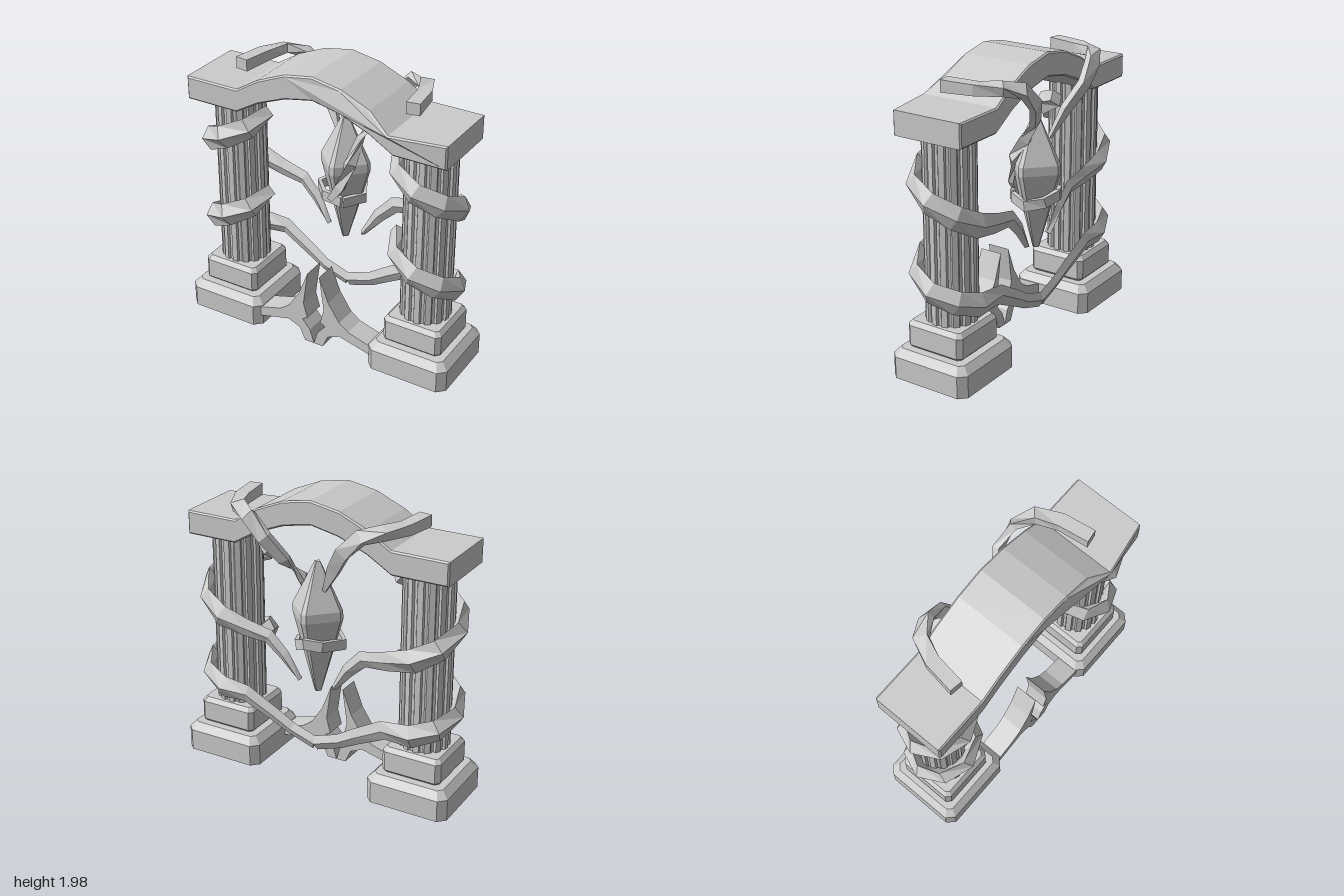
import * as THREE from 'three';

const V = (x, y, z) => new THREE.Vector3(x, y, z);
const material = new THREE.MeshStandardMaterial({ color: 0xcccccc, flatShading: true });

function add(parent, name, geometry) {
  const mesh = new THREE.Mesh(geometry, material);
  mesh.name = name;
  parent.add(mesh);
  return mesh;
}

// Skin a row of rings (counter-clockwise about the direction of travel) and cap both ends
function loft(rings) {
  const pos = [];
  const tri = (...pts) => pts.forEach(p => pos.push(p.x, p.y, p.z));
  const n = rings[0].length;
  for (let i = 0; i < rings.length - 1; i++) {
    for (let j = 0; j < n; j++) {
      const k = (j + 1) % n;
      const [a, b, c, d] = [rings[i][j], rings[i][k], rings[i + 1][k], rings[i + 1][j]];
      tri(a, b, c);
      tri(a, c, d);
    }
  }
  const first = rings[0], last = rings[rings.length - 1];
  for (let j = 1; j < n - 1; j++) {
    tri(first[0], first[j + 1], first[j]);
    tri(last[0], last[j], last[j + 1]);
  }
  const g = new THREE.BufferGeometry();
  g.setAttribute('position', new THREE.Float32BufferAttribute(pos, 3));
  g.computeVertexNormals();
  return g;
}

// Vine through nodes { p: point, out: outward hint, w: half width, t: half thickness }
function vine(nodes, square = false) {
  return loft(nodes.map(({ p, out, w, t }, i) => {
    const a = nodes[Math.max(i - 1, 0)].p, b = nodes[Math.min(i + 1, nodes.length - 1)].p;
    const dir = b.clone().sub(a).normalize();
    const n = out.clone().addScaledVector(dir, -out.dot(dir)).normalize();
    const side = dir.clone().cross(n);
    const corners = square ? [[1, -1], [1, 1], [-1, 1], [-1, -1]] : [[1, 0], [0, 1], [-1, 0], [0, -1]];
    return corners.map(([u, v]) => p.clone().addScaledVector(n, u * t).addScaledVector(side, v * w));
  }));
}

// Square ring with cut corners, half size h, cut c
function octagon(h, c, y) {
  const k = h - c;
  return [[k, h], [h, k], [h, -k], [k, -h], [-k, -h], [-h, -k], [-h, k], [-k, h]].map(([x, z]) => V(x, y, z));
}

// Fluted shaft ring: flat ridges between shallow grooves
function flutedRing(y, flutes = 14) {
  const ring = [];
  for (let i = 0; i < flutes; i++) {
    [[0, 0.17], [0.5, 0.17], [0.62, 0.155], [0.88, 0.155]].forEach(([f, r]) => {
      const a = (i + f) / flutes * Math.PI * 2;
      ring.push(V(r * Math.sin(a), y, r * Math.cos(a)));
    });
  }
  return ring;
}

function makeColumn(s) {
  const g = new THREE.Group();
  g.name = 'column';
  g.position.set(0.71 * s, 0, 0.03);
  add(g, 'base', loft([octagon(0.29, 0.05, 0), octagon(0.29, 0.05, 0.15), octagon(0.245, 0.03, 0.2)]));
  add(g, 'plinth', loft([
    octagon(0.19, 0.02, 0.2), octagon(0.21, 0.03, 0.22), octagon(0.21, 0.03, 0.355), octagon(0.185, 0.02, 0.385)
  ]));
  add(g, 'shaft', loft([flutedRing(0.37), flutedRing(1.62)]));
  return g;
}

// Vine that coils down around a column and then trails inward behind it
function coilVine(s, yOuter, backY, tail) {
  const nodes = [];
  for (let i = 0; i <= 6; i++) {
    const a = Math.PI * (1 - i / 4);
    const c = Math.cos(a), d = Math.sin(a), grow = i ? 1 : 0.75;
    const y = a > -0.1 ? yOuter + 0.095 * a : yOuter + (backY - yOuter) * (-a / (Math.PI / 2));
    nodes.push({ p: V(s * (0.71 + 0.22 * c), y, 0.03 + 0.22 * d), out: V(s * c, 0, d), w: 0.08 * grow, t: 0.05 });
  }
  tail.forEach(([x, y, z, w]) => nodes.push({ p: V(s * x, y, z), out: V(0, 0, -1), w, t: 0.025 }));
  return vine(nodes);
}

function makeArch() {
  const outline = [
    [-0.94, 1.61], [-0.57, 1.61], [-0.4, 1.71], [-0.2, 1.79], [0, 1.83], [0.2, 1.79], [0.4, 1.71], [0.57, 1.61],
    [0.92, 1.61], [0.92, 1.75], [0.56, 1.75], [0.4, 1.85], [0.2, 1.935], [0, 1.97], [-0.2, 1.935], [-0.4, 1.85],
    [-0.56, 1.75], [-0.94, 1.75]
  ];
  const g = new THREE.ExtrudeGeometry(new THREE.Shape(outline.map(p => new THREE.Vector2(...p))), {
    depth: 0.48, bevelThickness: 0.01, bevelSize: 0.01, bevelSegments: 1
  });
  g.translate(0, 0, -0.21);
  // The front swells where the right shoulder meets the curve
  const p = g.attributes.position;
  for (let i = 0; i < p.count; i++) {
    if (p.getZ(i) > 0.2 && Math.abs(p.getX(i) - 0.56) < 0.04 && p.getY(i) > 1.7) p.setZ(i, p.getZ(i) + 0.06);
  }
  g.computeVertexNormals();
  return g;
}

// Forked root between the column base and the middle
function makeRoot(s) {
  const outline = [
    [0.44, 0.07], [0.2, 0.13], [0.11, 0.09], [0.07, 0], [0, 0], [0.03, 0.1], [0.09, 0.17],
    [0.05, 0.19], [0.08, 0.3], [0.045, 0.55], [0.115, 0.37], [0.2, 0.24], [0.27, 0.19], [0.44, 0.14]
  ];
  const shape = new THREE.Shape(outline.map(([x, y]) => new THREE.Vector2(s * x, y)));
  return new THREE.ExtrudeGeometry(shape, { depth: 0.16, bevelEnabled: false }).translate(0, 0, 0.12);
}

// Four-sided spindle with narrow bevelled edges
function spindleRing(y, r) {
  const ring = [];
  for (let i = 0; i < 4; i++) {
    for (const e of [-0.1, 0.1]) {
      const a = i * Math.PI / 2 + e;
      ring.push(V(r * Math.sin(a), y, -0.13 + r * Math.cos(a)));
    }
  }
  return ring;
}

export function createModel() {
  const model = new THREE.Group();
  model.name = 'vineArchway';
  add(model, 'arch', makeArch());
  const UP = V(0, 1, 0), BACK = V(0, 0, -1), FRONT = V(0, 0, 1);

  for (const s of [-1, 1]) {
    model.add(makeColumn(s));
    add(model, 'root', makeRoot(s));
    add(model, 'upperVine', coilVine(s, 1.22, 1.05,
      [[0.52, 1.0, -0.18, 0.065], [0.35, 0.97, -0.17, 0.055], [0.24, 0.86, -0.16, 0.045], [0.13, 0.7, -0.14, 0.018]]));
    add(model, 'lowerVine', coilVine(s, 0.63, 0.52,
      [[0.52, 0.52, -0.2, 0.065], [0.3, 0.4, -0.18, 0.055], [0.18, 0.33, -0.17, 0.05], [0, 0.27, -0.17, 0.05]]));

    // Tendril over the arch; the right one runs on across the face of the spindle
    const path = [
      [0.62, 1.865, 0.13, UP, 0.045, 0.04], [0.59, 1.865, -0.08, UP, 0.045, 0.035],
      [0.52, 1.87, -0.23, V(0, 1, -0.4), 0.045, 0.03], [0.4, 1.84, -0.3, V(0, 0.6, -1), 0.045, 0.025],
      [0.28, 1.72, -0.31, BACK, 0.045, 0.022], [0.18, 1.57, -0.24, BACK, 0.04, 0.02]
    ];
    if (s < 0) path.push([0.08, 1.39, -0.18, BACK, 0.012, 0.01]);
    else path.push([0.115, 1.42, -0.12, V(1, 0, -0.3), 0.035, 0.02], [0.1, 1.27, -0.02, V(1, 0, 0.8), 0.035, 0.02],
      [0.045, 1.1, 0.02, FRONT, 0.03, 0.02], [-0.02, 1.0, 0.03, FRONT, 0.02, 0.015]);
    add(model, 'tendril', vine(path.map(([x, y, z, out, w, t]) => ({ p: V(s * x, y, z), out, w, t })), true));
  }

  // Hanging spindle and the band that holds it
  add(model, 'spindle', loft([
    spindleRing(0.65, 0.025), spindleRing(1.19, 0.18), spindleRing(1.25, 0.178), spindleRing(1.56, 0.02)
  ]));
  const band = [[0.06, 1.0, 0.02], [-0.08, 1.01, 0.01], [-0.18, 1.01, -0.1], [-0.1, 1.03, -0.25],
    [0, 1.05, -0.3], [0.08, 1.01, -0.25], [0.14, 0.98, -0.14], [0.06, 0.99, 0.01]];
  add(model, 'band', vine(band.map(([x, y, z]) => ({ p: V(x, y, z), out: V(x, 0, z + 0.13), w: 0.035, t: 0.015 })), true));
  return model;
}
